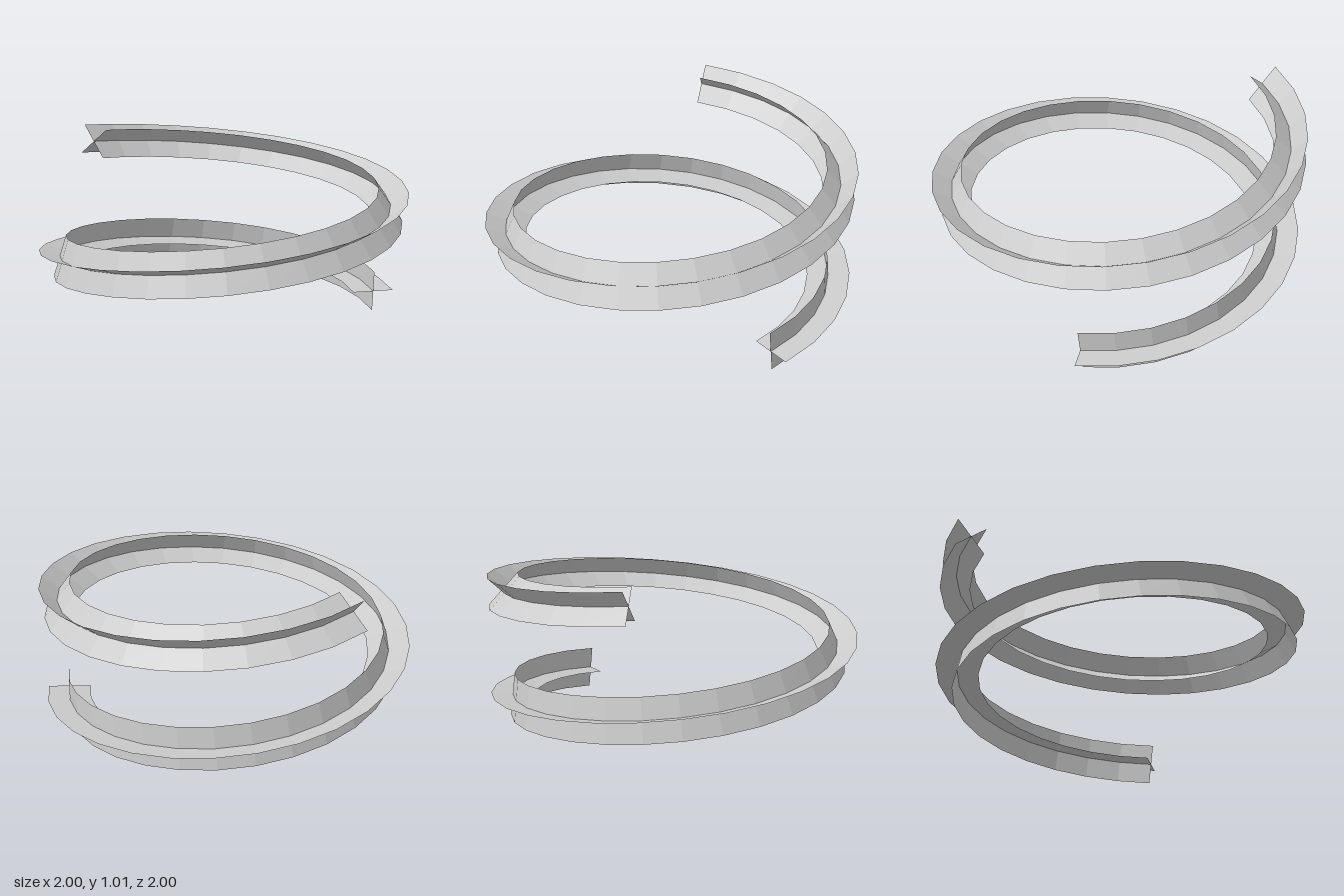
import * as THREE from 'three';

const SEGMENTS = 40;
const START = THREE.MathUtils.degToRad(5.6);
const END = THREE.MathUtils.degToRad(497.6);
const HALF_WIDTH = 0.117;
const SLOPE = 0.104; // pitch angle of the climb

// Point of the rising, slightly widening spiral, offset by v across the ribbon
function ribbonPoint(u, v, roll) {
  const a = THREE.MathUtils.lerp(START, END, u);
  const radius = THREE.MathUtils.lerp(0.874, 0.92, u);
  const twist = roll + THREE.MathUtils.degToRad(50) * u;
  const out = new THREE.Vector3(Math.cos(a), 0, -Math.sin(a));
  const up = new THREE.Vector3(
    Math.sin(a) * Math.sin(SLOPE), Math.cos(SLOPE), Math.cos(a) * Math.sin(SLOPE));
  const height = THREE.MathUtils.lerp(0.117, 0.918, u);
  return new THREE.Vector3(0, height, 0)
    .addScaledVector(out, radius + v * Math.cos(twist))
    .addScaledVector(up, v * Math.sin(twist));
}

// Bend a flat strip along the spiral
function ribbon(name, roll, material) {
  const geometry = new THREE.PlaneGeometry(1, 2 * HALF_WIDTH, SEGMENTS, 2);
  const pos = geometry.attributes.position;
  for (let i = 0; i < pos.count; i++) {
    const p = ribbonPoint(pos.getX(i) + 0.5, pos.getY(i), roll);
    pos.setXYZ(i, p.x, p.y, p.z);
  }
  geometry.computeVertexNormals();
  const mesh = new THREE.Mesh(geometry, material);
  mesh.name = name;
  return mesh;
}

export function createModel() {
  const group = new THREE.Group();
  group.name = 'twistedSpiral';
  const material = new THREE.MeshStandardMaterial({
    color: 0xcccccc, flatShading: true, side: THREE.DoubleSide });
  // Two ribbons crossing at right angles along the same path
  group.add(ribbon('flatRibbon', 0, material));
  group.add(ribbon('uprightRibbon', Math.PI / 2, material));
  return group;
}
